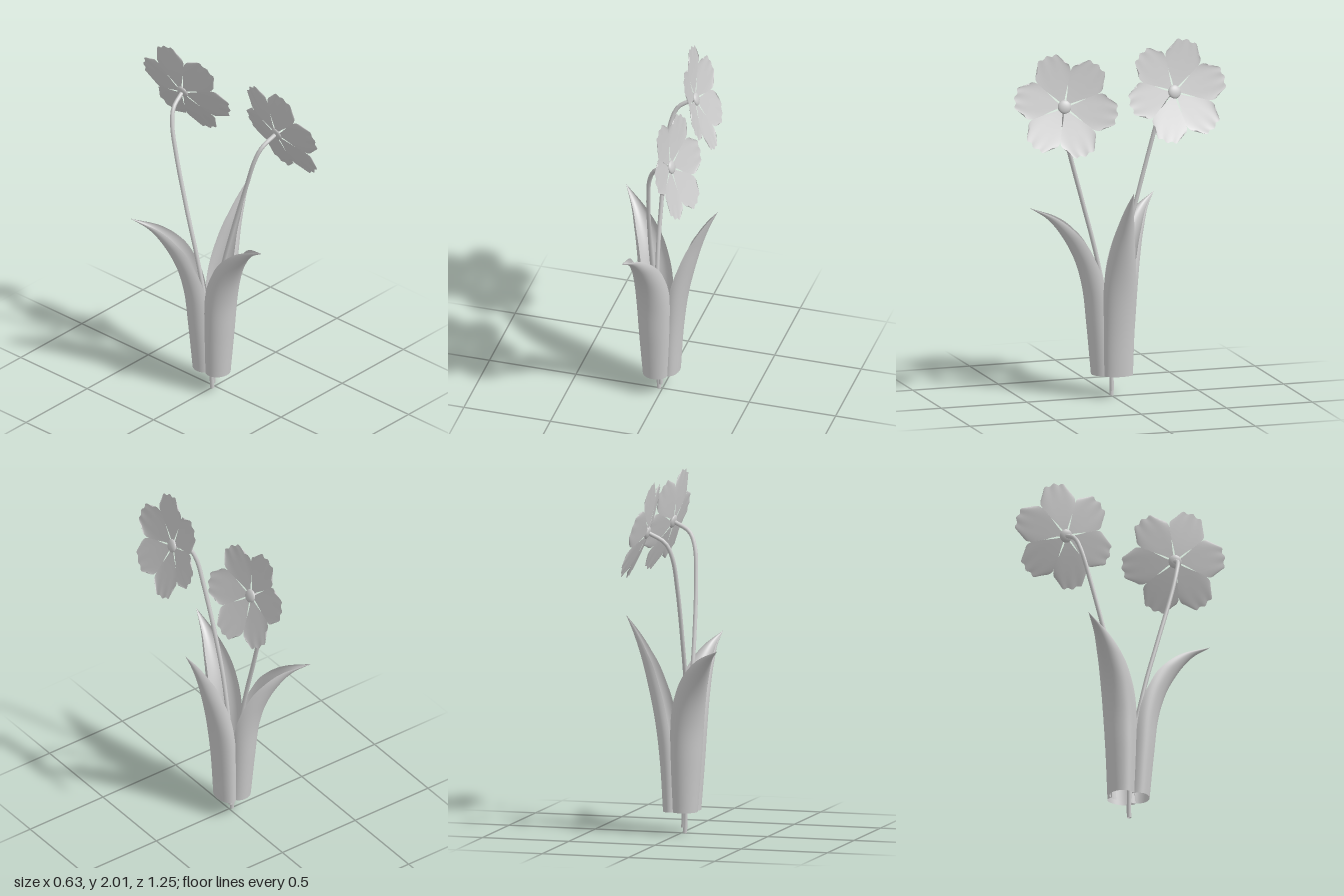
import * as THREE from 'three';

const mat = new THREE.MeshStandardMaterial({ color: 0xcccccc, side: THREE.DoubleSide });
const V = (x, y, z) => new THREE.Vector3(x, y, z);

function addMesh(parent, geometry, name) {
  const mesh = new THREE.Mesh(geometry, mat);
  mesh.name = name;
  parent.add(mesh);
  return mesh;
}

// Petal along +x: narrow root, broad softly lobed tip, gently cupped towards +z
function petalGeometry(length) {
  const g = new THREE.PlaneGeometry(1, 1, 16, 24);
  const p = g.attributes.position;
  for (let i = 0; i < p.count; i++) {
    const u = p.getX(i) + 0.5, v = p.getY(i) * 2;
    const r = length * u * (1 - 0.2 * u * u * v ** 4) + 0.007 * Math.cos(3 * Math.PI * v) * u ** 6;
    const halfWidth = 0.105 * Math.sin(2.2 * u ** 1.3);
    p.setXYZ(i, r, halfWidth * v, 0.045 * u ** 1.2);
  }
  g.computeVertexNormals();
  return g;
}

// Six petals and a flattened centre, facing along the given normal
function makeFlower(name, centre, normal, startAngle) {
  const flower = new THREE.Group();
  flower.name = name;
  const geometry = petalGeometry(0.292);
  for (let i = 0; i < 6; i++) {
    const petal = addMesh(flower, geometry, 'petal');
    petal.rotation.z = THREE.MathUtils.degToRad(startAngle + i * 60);
  }
  const heart = addMesh(flower, new THREE.SphereGeometry(0.038, 20, 12), 'flowerCentre');
  heart.scale.z = 0.4;
  heart.position.z = 0.005;
  flower.position.copy(centre);
  flower.lookAt(centre.clone().add(normal));
  return flower;
}

function makeStem(name, points) {
  const curve = new THREE.CatmullRomCurve3(points.map(p => V(...p)));
  const mesh = new THREE.Mesh(new THREE.TubeGeometry(curve, 60, 0.012, 10), mat);
  mesh.name = name;
  return mesh;
}

// Rolled leaf: C-shaped sections, open towards the middle, tapering to a point.
// Each row: height, outward reach, half width, depth, half angle of the arc
function makeLeaf(name, rows, x, z, angle) {
  const size = new THREE.CatmullRomCurve3(rows.map(r => V(r[0], r[1], r[2])));
  const arc = new THREE.CatmullRomCurve3(rows.map(r => V(r[3], r[4], 0)));
  const g = new THREE.PlaneGeometry(1, 1, 28, 40);
  const p = g.attributes.position;
  for (let i = 0; i < p.count; i++) {
    const t = p.getY(i) + 0.5;
    const s = size.getPoint(t), a = arc.getPoint(t);
    const phi = -p.getX(i) * 2 * a.y;
    p.setXYZ(i, s.y - a.x * (1 - Math.cos(phi)), s.x, Math.max(s.z, 0) * Math.sin(phi));
  }
  g.computeVertexNormals();
  const mesh = new THREE.Mesh(g, mat);
  mesh.name = name;
  mesh.position.set(x, 0, z);
  mesh.rotation.y = -THREE.MathUtils.degToRad(angle);
  return mesh;
}

export function createModel() {
  const model = new THREE.Group();
  model.name = 'flowers';

  // Leaves: one tall and upright, two bending outwards
  const tall = [
    [0.125, 0.095, 0.083, 0.05, 2.2],
    [0.4, 0.113, 0.09, 0.06, 2.1],
    [0.62, 0.14, 0.093, 0.068, 1.95],
    [0.82, 0.183, 0.075, 0.075, 1.7],
    [1.0, 0.232, 0.046, 0.06, 1.5],
    [1.12, 0.275, 0.022, 0.03, 1.5],
    [1.21, 0.315, 0, 0, 1.5],
  ];
  const bent = [
    [0.125, 0.115, 0.0725, 0.065, 2.25],
    [0.4, 0.14, 0.088, 0.075, 2.15],
    [0.62, 0.165, 0.095, 0.085, 2.0],
    [0.78, 0.21, 0.089, 0.095, 1.75],
    [0.92, 0.285, 0.069, 0.1, 1.55],
    [1.01, 0.36, 0.038, 0.07, 1.5],
    [1.075, 0.458, 0, 0, 1.5],
  ];
  model.add(makeLeaf('tallLeaf', tall, 0, -0.02, 0));
  model.add(makeLeaf('frontLeaf', bent, -0.016, 0, 101));
  model.add(makeLeaf('backLeaf', bent, 0, -0.01, 227));

  // Stems
  model.add(makeStem('frontStem', [
    [-0.01, 0.03, 0], [-0.02, 0.4, 0.012], [-0.03, 0.8, 0.085], [-0.025, 1.1, 0.165],
    [-0.008, 1.4, 0.25], [0.012, 1.56, 0.29], [0.05, 1.64, 0.312], [0.143, 1.69, 0.328],
  ]));
  model.add(makeStem('backStem', [
    [-0.02, 0, 0], [-0.035, 0.4, -0.012], [-0.052, 0.8, -0.08], [-0.055, 1.1, -0.16],
    [-0.05, 1.4, -0.24], [-0.035, 1.58, -0.287], [0, 1.665, -0.31], [0.09, 1.72, -0.328],
  ]));

  // Flowers
  model.add(makeFlower('frontFlower', V(0.145, 1.69, 0.33), V(1, 0.29, 0.09), 48));
  model.add(makeFlower('backFlower', V(0.092, 1.72, -0.33), V(1, 0.32, -0.08), 11));
  return model;
}
